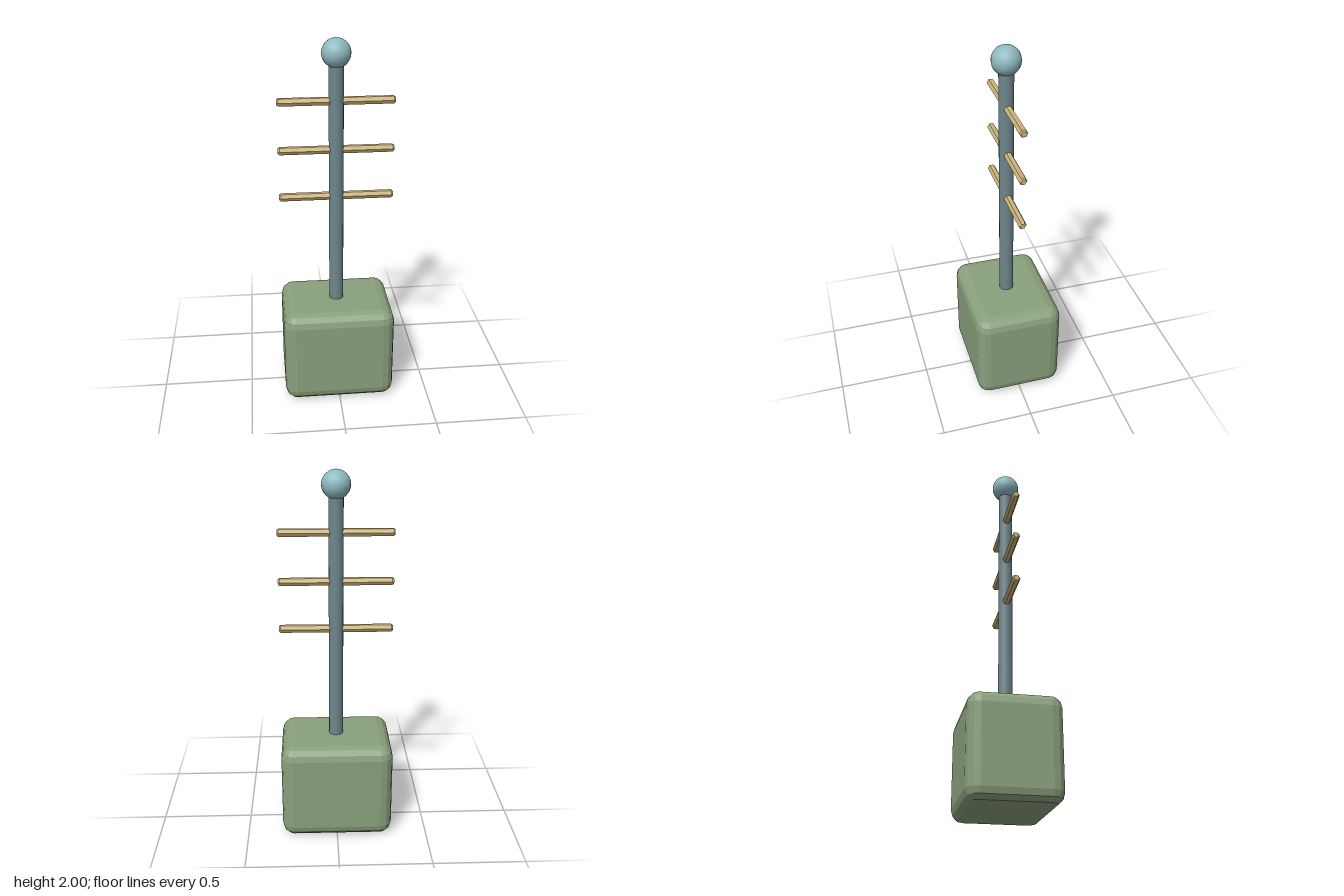
import * as THREE from 'three';
import { ConvexGeometry } from 'three/addons/geometries/ConvexGeometry.js';

const material = (color, flatShading = false) => new THREE.MeshStandardMaterial({ color, flatShading });

function addPart(group, name, geometry, mat, y) {
  const mesh = new THREE.Mesh(geometry, mat);
  mesh.name = name;
  mesh.position.y = y;
  group.add(mesh);
  return mesh;
}

// Box whose edges are bevelled in three steps: hull of eight ball octants
function bevelledBox(w, h, d, r) {
  const points = [];
  const step = Math.PI / 6;
  for (const sx of [-1, 1]) for (const sy of [-1, 1]) for (const sz of [-1, 1]) {
    for (let i = 0; i <= 3; i++) {
      for (let j = 0; j <= (i === 3 ? 0 : 3); j++) {
        const ring = r * Math.cos(i * step);
        points.push(new THREE.Vector3(
          sx * (w / 2 - r + ring * Math.cos(j * step)),
          sy * (h / 2 - r + r * Math.sin(i * step)),
          sz * (d / 2 - r + ring * Math.sin(j * step))));
      }
    }
  }
  return new ConvexGeometry(points);
}

export function createModel() {
  const model = new THREE.Group();
  model.name = 'antennaMast';

  // Bevelled block at the foot
  addPart(model, 'base', bevelledBox(0.61, 0.54, 0.48, 0.065), material(0x8aa07c, true), 0.27);

  // Mast and the ball on top
  addPart(model, 'mast', new THREE.CylinderGeometry(0.039, 0.039, 1.37, 16), material(0x6f868c), 1.205);
  addPart(model, 'tipBall', new THREE.SphereGeometry(0.076, 16, 12), material(0x8fbac2), 1.924);

  // Three six-sided crossbars with chamfered ends
  const profile = [[0, -0.305], [0.015, -0.305], [0.022, -0.296], [0.022, 0.296], [0.015, 0.305], [0, 0.305]]
    .map(([x, y]) => new THREE.Vector2(x, y));
  const barGeometry = new THREE.LatheGeometry(profile, 6).rotateZ(Math.PI / 2);
  const barMaterial = material(0xcdb57c, true);
  for (const y of [1.16, 1.42, 1.68]) addPart(model, 'crossbar', barGeometry, barMaterial, y);

  return model;
}
